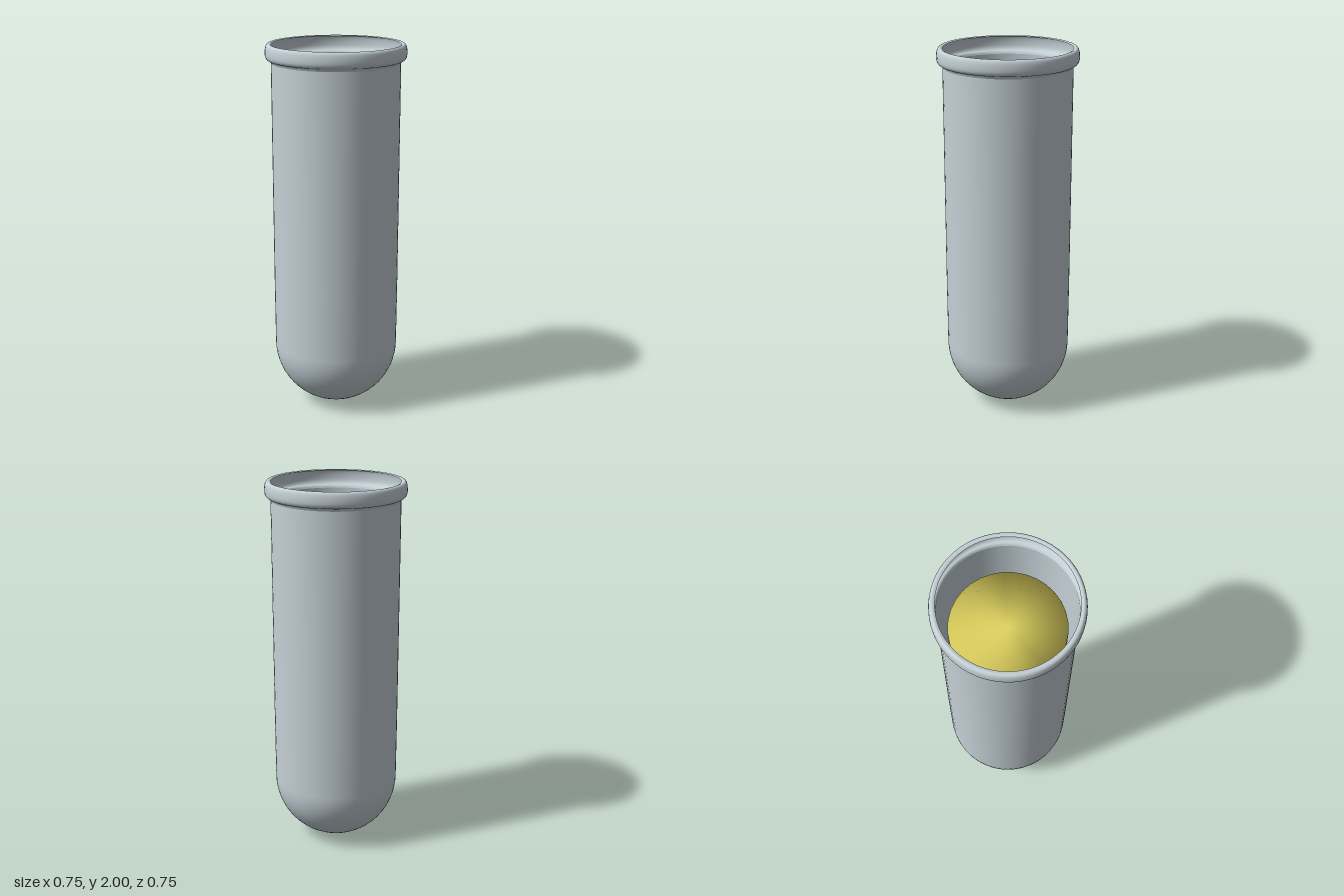
import * as THREE from 'three';

const glass = new THREE.MeshStandardMaterial({ color: 0xc4d0d6, side: THREE.DoubleSide });
glass.name = 'pale glass';
const yellow = new THREE.MeshStandardMaterial({ color: 0xe3d660 });
yellow.name = 'yellow liquid';

// Quarter circle from the bottom pole up to the side wall
function roundBottom(radius, bottom, steps) {
  const points = [];
  for (let i = 0; i <= steps; i++) {
    const a = (i / steps) * Math.PI / 2;
    points.push(new THREE.Vector2(radius * Math.sin(a), bottom + radius * (1 - Math.cos(a))));
  }
  return points;
}

function turned(name, points, segments, material) {
  const mesh = new THREE.Mesh(new THREE.LatheGeometry(points, segments), material);
  mesh.name = name;
  return mesh;
}

export function createModel() {
  const group = new THREE.Group();
  group.name = 'testTube';

  // Thin round-bottomed wall, open at the top
  const wall = roundBottom(0.338, 0, 16);
  wall.push(new THREE.Vector2(0.34, 0.7), new THREE.Vector2(0.341, 1.3), new THREE.Vector2(0.342, 1.9));
  group.add(turned('tubeWall', wall, 64, glass));

  // Rolled bead around the mouth, hollow on the inside
  const bead = new THREE.SplineCurve([
    [0.342, 1.9], [0.349, 1.913], [0.362, 1.918], [0.372, 1.935],
    [0.373, 1.965], [0.368, 1.99], [0.356, 2.0], [0.341, 1.996],
  ].map(([x, y]) => new THREE.Vector2(x, y))).getPoints(24);
  group.add(turned('rim', bead, 64, glass));

  // Liquid body with a level top
  const liquid = roundBottom(0.297, 0.042, 12);
  liquid.push(new THREE.Vector2(0.297, 1.7), new THREE.Vector2(0, 1.7));
  group.add(turned('liquid', liquid, 32, yellow));

  return group;
}
